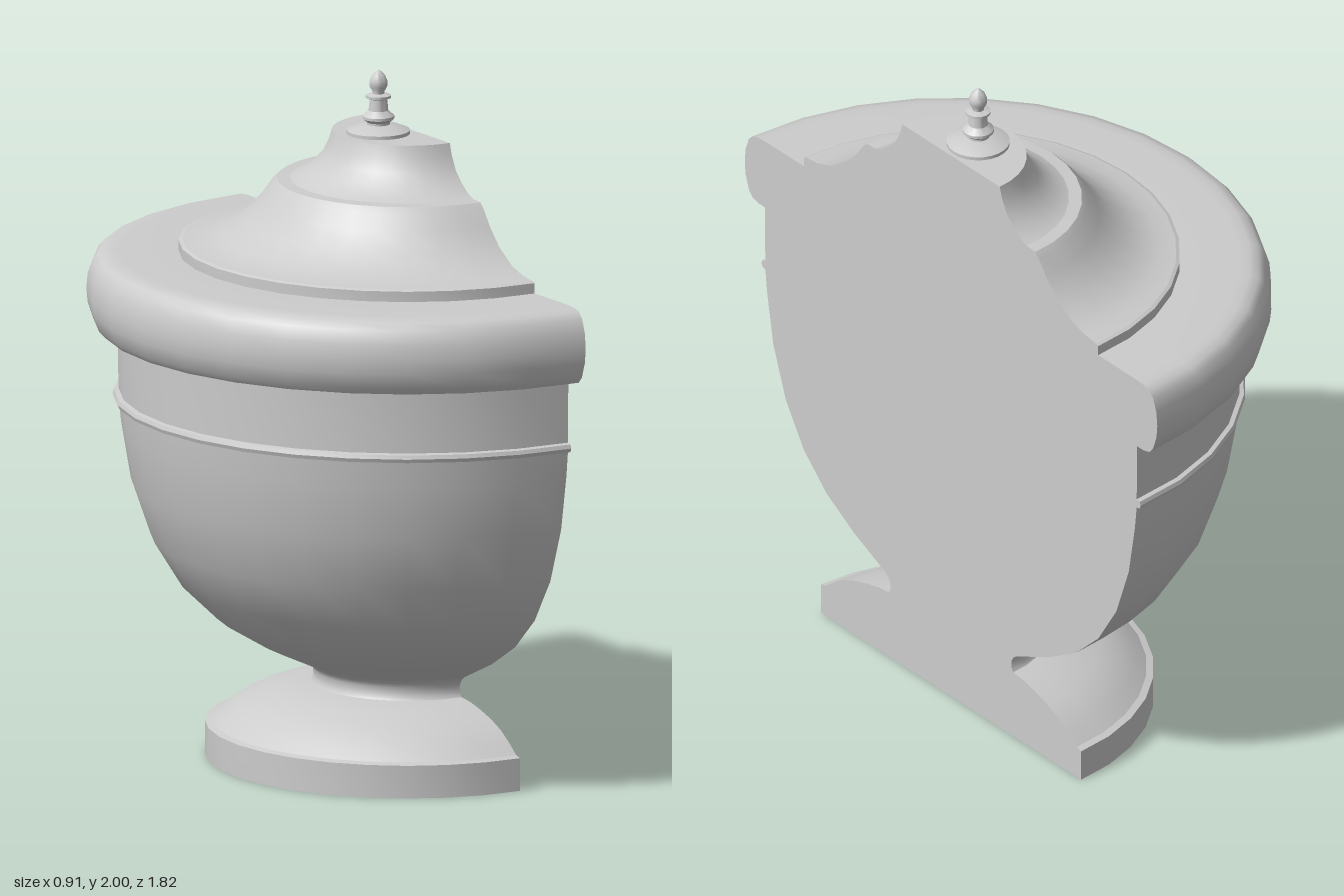
import * as THREE from 'three';
import { toCreasedNormals } from 'three/addons/utils/BufferGeometryUtils.js';

const AXIS = 0.455; // x of the flat cut and of the turning axis

// Half profiles as [radius, height], from the floor upwards
const PARTS = {
  plinth: [[0, 0], [0.575, 0], [0.575, 0.095], [0.555, 0.1]],
  footSlope: [[0.555, 0.1], [0.52, 0.128], [0.475, 0.158], [0.425, 0.18], [0.37, 0.197], [0.32, 0.209], [0.275, 0.214]],
  neck: [[0.275, 0.214], [0.268, 0.225], [0.268, 0.25], [0.276, 0.264], [0.29, 0.275]],
  bowl: [[0.29, 0.275], [0.43, 0.34], [0.55, 0.413], [0.65, 0.51], [0.73, 0.64], [0.785, 0.8], [0.812, 0.96], [0.82, 1.033]],
  bead: [[0.82, 1.033], [0.833, 1.036], [0.837, 1.047], [0.833, 1.058], [0.82, 1.061]],
  collar: [[0.82, 1.061], [0.822, 1.24]],
  rim: [[0.822, 1.24], [0.85, 1.24], [0.875, 1.246], [0.892, 1.265], [0.907, 1.31], [0.911, 1.35],
    [0.907, 1.395], [0.893, 1.435], [0.876, 1.453], [0.85, 1.46], [0.82, 1.462], [0.65, 1.462]],
  lidStep: [[0.65, 1.462], [0.65, 1.492], [0.64, 1.496]],
  lidLowerCove: [[0.64, 1.496], [0.59, 1.502], [0.535, 1.519], [0.47, 1.56], [0.42, 1.612], [0.388, 1.657], [0.372, 1.673]],
  lidLedge: [[0.372, 1.673], [0.335, 1.675]],
  lidUpperCove: [[0.335, 1.675], [0.31, 1.685], [0.275, 1.711], [0.245, 1.742], [0.225, 1.782], [0.215, 1.815]],
  lidTop: [[0.215, 1.815], [0, 1.815]],
};

const FINIAL = [[0.09, 1.815], [0.09, 1.825], [0.06, 1.837], [0.033, 1.842], [0.033, 1.848], [0.045, 1.858], [0.045, 1.866],
  [0.028, 1.882], [0.025, 1.915], [0.036, 1.919], [0.036, 1.926], [0.017, 1.931], [0.017, 1.937],
  [0.025, 1.951], [0.026, 1.966], [0.019, 1.983], [0.009, 1.994], [0, 2]];

const toVectors = (points) => points.map(([r, y]) => new THREE.Vector2(r, y));

// Turned surface with sharp corners kept
function turned(points, segments, start, sweep) {
  return toCreasedNormals(new THREE.LatheGeometry(toVectors(points), segments, start, sweep), 0.6);
}

export function createModel() {
  const group = new THREE.Group();
  const stone = new THREE.MeshStandardMaterial({ color: 0xcccccc });
  stone.name = 'grey stone';

  function add(name, geometry, x) {
    const mesh = new THREE.Mesh(geometry, stone);
    mesh.name = name;
    mesh.position.x = x;
    group.add(mesh);
    return mesh;
  }

  // Half-round body, swept on the -x side of the cut
  for (const [name, points] of Object.entries(PARTS)) {
    add(name, turned(points, 16, Math.PI, Math.PI), AXIS);
  }

  // Flat cut face closing the half urn
  const outline = Object.values(PARTS).flatMap((points) => points.slice(1));
  const right = outline.slice(0, -1);
  const left = right.map(([r, y]) => [-r, y]).reverse();
  const cut = new THREE.ShapeGeometry(new THREE.Shape(toVectors([...right, ...left])));
  add('cutFace', cut.rotateY(Math.PI / 2), AXIS);

  // Whole finial standing on the lid
  add('finial', turned(FINIAL, 24, 0, Math.PI * 2), 0.355);

  return group;
}
